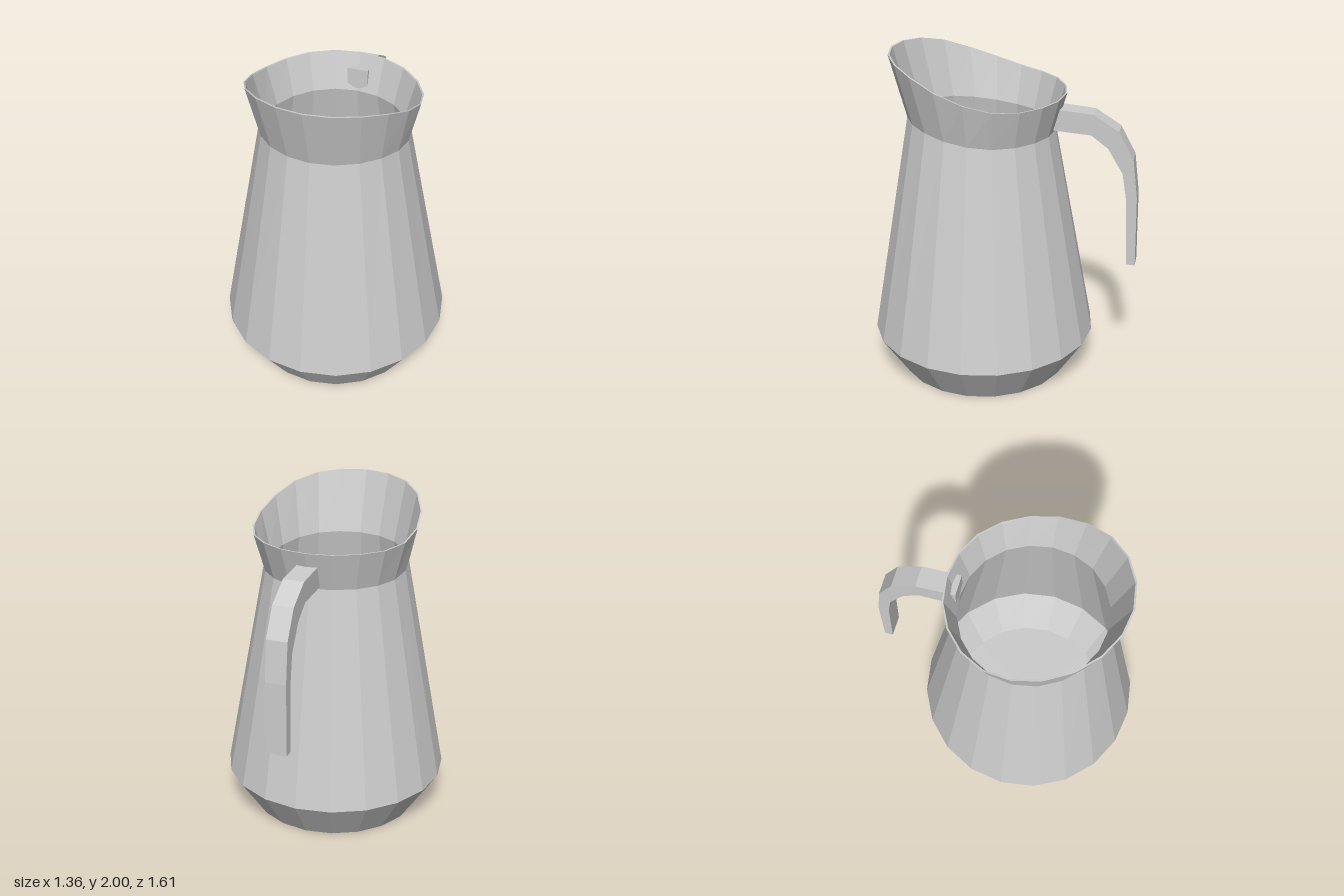
import * as THREE from 'three';

const SIDES = 20, CENTRE_Z = 0.127, WALL = 0.01;
// How far the pouring side rises, per facet from front (1) to back (0)
const RISE = [1, 0.98, 0.91, 0.75, 0.48, 0.23, 0.05, 0, 0, 0, 0];

// One ring of the jug: radius, height, extra height and forward shift at the spout side
function ring(r, y, lift = 0, shift = 0) {
  return Array.from({ length: SIDES }, (_, i) => {
    const a = (i / SIDES) * Math.PI * 2;
    const t = RISE[Math.min(i, SIDES - i)];
    return [r * Math.sin(a), y + lift * t, CENTRE_Z + r * Math.cos(a) + shift * t];
  });
}

// Skin consecutive rings with quads
function skin(rings) {
  const index = [];
  for (let j = 0; j < rings.length - 1; j++) {
    for (let i = 0; i < SIDES; i++) {
      const n = (i + 1) % SIDES;
      const a = j * SIDES + i, b = j * SIDES + n;
      const c = a + SIDES, d = b + SIDES;
      index.push(a, b, d, a, d, c);
    }
  }
  const geometry = new THREE.BufferGeometry();
  geometry.setAttribute('position', new THREE.Float32BufferAttribute(rings.flat(2), 3));
  geometry.setIndex(index);
  const flat = geometry.toNonIndexed();
  flat.computeVertexNormals();
  return flat;
}

export function createModel() {
  const group = new THREE.Group();
  const material = new THREE.MeshStandardMaterial({ color: 0xcccccc, flatShading: true });
  const add = (name, geometry) => {
    const mesh = new THREE.Mesh(geometry, material);
    mesh.name = name;
    group.add(mesh);
    return mesh;
  };

  // Outer wall, up over the rim, then down the thin inner wall
  add('jugWall', skin([
    ring(0.517, 0),
    ring(0.68, 0.25),
    ring(0.432, 1.555, 0.07, 0.012),
    ring(0.495, 1.78, 0.22, 0.05),
    ring(0.495 - WALL, 1.78, 0.22, 0.05),
    ring(0.432 - WALL, 1.555, 0.07, 0.012),
    ring(0.68 - WALL, 0.25),
    ring(0.517 - WALL, WALL),
  ]));

  // Underside and inner floor
  const underside = add('underside', new THREE.CircleGeometry(0.517, SIDES));
  underside.rotation.x = Math.PI / 2;
  underside.position.z = CENTRE_Z;
  const floor = add('innerFloor', new THREE.CircleGeometry(0.517 - WALL, SIDES));
  floor.rotation.x = -Math.PI / 2;
  floor.position.set(0, WALL, CENTRE_Z);

  // Handle: side outline as (distance behind, height), open at its lower end
  const outline = [
    [0.297, 1.57], [0.52, 1.555], [0.62, 1.48], [0.71, 1.33], [0.737, 1.17], [0.755, 0.75],
    [0.807, 0.747], [0.8, 1.18], [0.77, 1.42], [0.68, 1.585], [0.53, 1.68], [0.297, 1.7],
  ].map(([x, y]) => new THREE.Vector2(x, y));
  const width = 0.125;
  const handle = new THREE.ExtrudeGeometry(new THREE.Shape(outline), { depth: width, bevelEnabled: false });
  handle.translate(0, 0, -width / 2);
  handle.rotateY(Math.PI / 2);
  add('handle', handle);

  return group;
}
